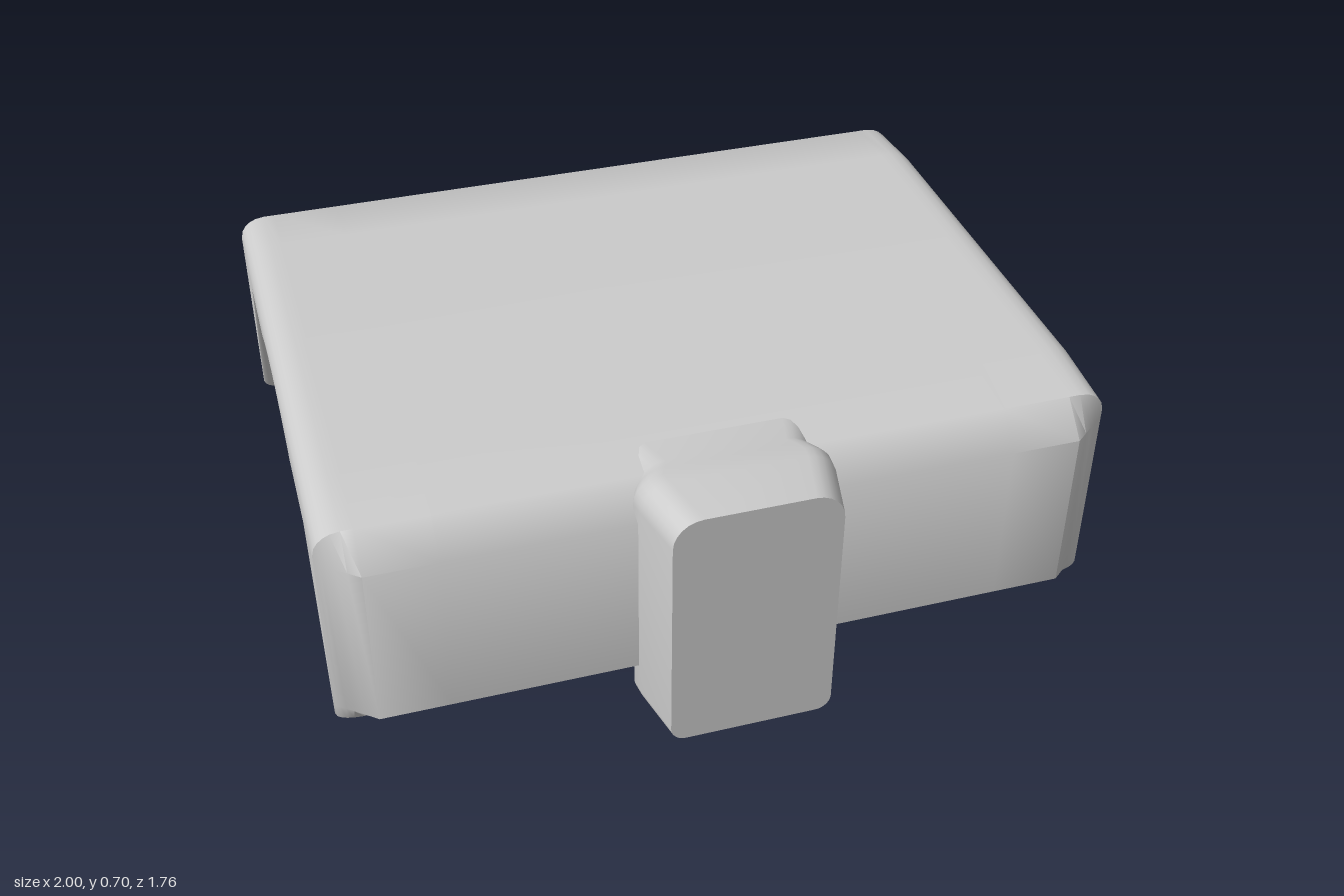
import * as THREE from 'three';
import { toCreasedNormals } from 'three/addons/utils/BufferGeometryUtils.js';

const material = new THREE.MeshStandardMaterial({ color: 0xcccccc });

// Skins a row of 2D rings [u, v]; place(u, v, s) puts a ring point in space.
// Rings run counter-clockwise seen from the last station.
function loft(sections, place) {
  const positions = [];
  const add = (...pts) => pts.forEach((p) => positions.push(...p));
  const rings = sections.map(({ s, ring }) => ring.map(([u, v]) => place(u, v, s)));
  for (let k = 0; k + 1 < rings.length; k++) {
    const a = rings[k], b = rings[k + 1], n = a.length;
    for (let i = 0; i < n; i++) {
      const j = (i + 1) % n;
      add(a[i], a[j], b[j], a[i], b[j], b[i]);
    }
  }
  const cap = (k, flip) => {
    const outline = sections[k].ring.map(([u, v]) => new THREE.Vector2(u, v));
    for (const [a, b, c] of THREE.ShapeUtils.triangulateShape(outline, [])) {
      const r = rings[k];
      if (flip) add(r[a], r[c], r[b]);
      else add(r[a], r[b], r[c]);
    }
  };
  cap(0, true);
  cap(rings.length - 1, false);
  const geometry = new THREE.BufferGeometry();
  geometry.setAttribute('position', new THREE.Float32BufferAttribute(positions, 3));
  return toCreasedNormals(geometry, 0.8);
}

// Upright rectangle standing on y = 0 with separate bottom and top corner radii
function roundedRing(halfWidth, top, bottomRadius, topRadius) {
  const ring = [];
  const corner = (cx, cy, r, start) => {
    for (let i = 0; i <= 6; i++) {
      const a = start + (i / 6) * Math.PI / 2;
      ring.push([cx + r * Math.cos(a), cy + r * Math.sin(a)]);
    }
  };
  const b = bottomRadius, t = topRadius;
  corner(halfWidth - b, b, b, -Math.PI / 2);
  corner(halfWidth - t, top - t, t, 0);
  corner(-halfWidth + t, top - t, t, Math.PI / 2);
  corner(-halfWidth + b, b, b, Math.PI);
  return ring;
}

// Side profile of the cover in (z, y); t runs from 0 at its end to 1 inboard
function coverRing(t, arch) {
  const c = Math.min(1, t / 0.7);
  const round = Math.sqrt(1 - (1 - c) ** 2);
  const top = 0.62 + 0.06 * round;
  const bottom = 0.09 - 0.03 * round;
  const front = 0.64 + 0.08 * t, back = -0.81 - 0.07 * t;
  const ring = [
    [0.64, bottom], [front, 0.12], [front, 0.58], [0.64, top - 0.02],
    [0.45, top], [-0.61, top],
    [-0.81, top - 0.02], [back, 0.58], [back, 0.12], [-0.81, bottom],
    [-0.61, 0.55],
  ];
  // Shallow finger arch in the lower side edge
  for (let i = 0; i <= 12; i++) {
    const u = i / 12;
    ring.push([-0.37 + 0.57 * u, 0.55 + arch * 4 * u * (1 - u)]);
  }
  ring.push([0.45, 0.55]);
  return ring;
}

export function createModel() {
  const model = new THREE.Group();
  const part = (name, geometry) => {
    const mesh = new THREE.Mesh(geometry, material);
    mesh.name = name;
    model.add(mesh);
  };

  // Cover with hanging front and back flanges, rounded towards both ends
  const half = [0, 0.05, 0.14, 0.28, 0.45, 0.7, 1].map((t) => ({
    s: 1 - 0.1 * t, ring: coverRing(t, 0.06),
  }));
  half.push({ s: 0.72, ring: coverRing(1, 0.06) }, { s: 0.72, ring: coverRing(1, 0) });
  const mirrored = half.map(({ s, ring }) => ({ s: -s, ring })).reverse();
  part('cover', loft([...half, ...mirrored], (z, y, x) => [x, y, z]));

  // Body block beneath the cover
  const body = roundedRing(0.73, 0.62, 0.04, 0.01);
  part('body', loft([{ s: -0.65, ring: body }, { s: 0.48, ring: body }],
    (x, y, z) => [x, y, z]));

  // Front lug: depth, half width, height
  const lug = [
    [0.44, 0.27, 0.66], [0.48, 0.27, 0.665], [0.54, 0.25, 0.672], [0.63, 0.225, 0.685],
    [0.66, 0.24, 0.69], [0.69, 0.25, 0.695], [0.73, 0.245, 0.7], [0.88, 0.21, 0.7],
  ].map(([s, w, h]) => ({ s, ring: roundedRing(w, h, 0.04, 0.075) }));
  part('frontLug', loft(lug, (x, y, z) => [x, y, z]));

  return model;
}
